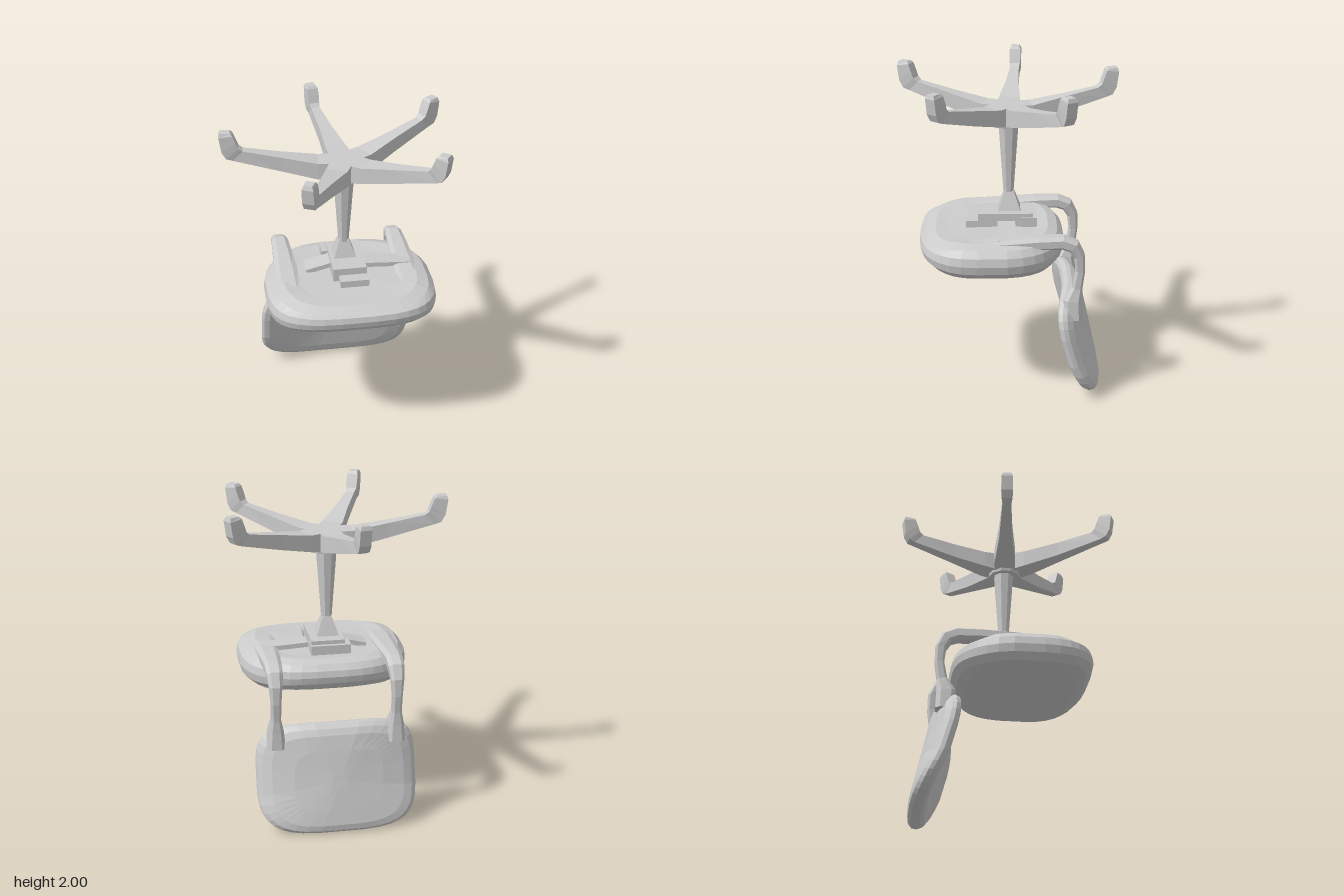
import * as THREE from 'three';

const mat = new THREE.MeshStandardMaterial({ color: 0xcccccc, flatShading: true });
const CX = 0.055; // mirror plane of seat, bars and backrest

function add(parent, name, geo, x = 0, y = 0, z = 0) {
  const m = new THREE.Mesh(geo, mat);
  m.name = name;
  m.position.set(x, y, z);
  parent.add(m);
  return m;
}

// Skin over a list of rings (counter-clockwise about the direction of travel), capped at both ends
function loft(rings) {
  const n = rings[0].length, pos = [], idx = [];
  rings.forEach(r => r.forEach(p => pos.push(...p)));
  for (let k = 0; k < rings.length - 1; k++)
    for (let i = 0; i < n; i++) {
      const j = (i + 1) % n, a = k * n, b = a + n;
      idx.push(a + i, a + j, b + j, a + i, b + j, b + i);
    }
  [0, rings.length - 1].forEach((k, end) => {
    const c = pos.length / 3;
    pos.push(...[0, 1, 2].map(q => rings[k].reduce((s, p) => s + p[q], 0) / n));
    for (let i = 0; i < n; i++) {
      const a = k * n + i, b = k * n + (i + 1) % n;
      idx.push(c, ...(end ? [a, b] : [b, a]));
    }
  });
  const g = new THREE.BufferGeometry();
  g.setAttribute('position', new THREE.Float32BufferAttribute(pos, 3));
  g.setIndex(idx);
  g.computeVertexNormals();
  return g;
}

// Rounded-rectangle outline as unit points
function outline(n, power) {
  const f = v => Math.sign(v) * Math.pow(Math.abs(v), 2 / power);
  return Array.from({ length: n }, (_, i) => {
    const t = ((i + 0.5) / n) * Math.PI * 2;
    return [f(Math.cos(t)), f(Math.sin(t))];
  });
}

// Seat: rings of [scale, height], narrower at the back, underside lifted at front and back
function seat() {
  const profile = [[0.1, 0.855], [0.5, 0.845], [0.76, 0.832], [0.9, 0.85], [0.98, 0.89], [1, 0.94],
    [0.98, 0.99], [0.91, 1.03], [0.78, 1.05], [0.6, 1.04], [0.1, 1.04]];
  return loft(profile.map(([s, y]) => outline(36, 3.1).map(([u, v]) => {
    const z = 0.1 - v * s * 0.45;
    const w = 0.535 * (1 - 0.16 * Math.max(0, (0.1 - z) / 0.45) ** 2);
    const lift = 0.055 * Math.max(0, (z - 0.25) / 0.3) ** 2 + 0.04 * Math.max(0, (-0.15 - z) / 0.2) ** 2;
    const low = Math.max(0, (1.02 - y) / 0.19);
    const drop = y > 1 ? 0.03 * Math.max(0, (z - 0.3) / 0.25) : 0;
    return [0.065 + u * s * w, y + lift * low - drop, z];
  })));
}

// Backrest: rings of [scale, depth], leaning and wrapping forward at the sides
function backrest() {
  const profile = [[0.1, -0.06], [0.55, -0.06], [0.82, -0.058], [0.93, -0.045], [0.99, -0.02], [1, 0.005],
    [0.97, 0.035], [0.9, 0.053], [0.75, 0.06], [0.5, 0.06], [0.1, 0.06]];
  return loft(profile.map(([s, d]) => outline(36, 3.8).map(([u, v]) => {
    const x = u * s * 0.505, y = 0.34 + v * s * 0.338;
    const wrap = 0.09 * (x / 0.5) ** 2 * Math.min(1, 0.25 + y * 2.5);
    return [0.05 + x, y, -0.405 - 0.225 * (0.62 - y) + d + wrap];
  })));
}

// Side bar: runs along the seat, bends over its rear edge and meets the backrest
function bar() {
  const path = [[0.28, 1.02, 0.08, 0.02], [0, 1.03, 0.075, 0.035], [-0.18, 1.038, 0.065, 0.04],
    [-0.33, 1.04, 0.055, 0.042], [-0.395, 1.015, 0.052, 0.042], [-0.43, 0.95, 0.042, 0.036],
    [-0.437, 0.85, 0.033, 0.03], [-0.42, 0.74, 0.032, 0.034], [-0.395, 0.66, 0.05, 0.06],
    [-0.4, 0.54, 0.06, 0.06]];
  return loft(path.map(([z, y, hw, ht], k) => {
    const a = path[Math.max(0, k - 1)], b = path[Math.min(path.length - 1, k + 1)];
    const len = Math.hypot(b[0] - a[0], b[1] - a[1]);
    const dz = (b[0] - a[0]) / len, dy = (b[1] - a[1]) / len;
    return outline(8, 3).map(([u, v]) => [u * hw, y + v * ht * dz, z - v * ht * dy]);
  }));
}

// Star leg pointing along +x, ending in an upturned foot; rings of [lower x, y, upper x, y, half width]
function leg(reach) {
  const rings = [[0, 1.67, 0, 1.8, 0.07], [0.16, 1.695, 0.16, 1.8, 0.066], [0.38, 1.745, 0.38, 1.838, 0.042],
    [0.67, 1.82, 0.61, 1.88, 0.028], [0.71, 1.835, 0.635, 1.9, 0.034], [0.735, 1.88, 0.65, 1.94, 0.036],
    [0.75, 1.975, 0.668, 1.985, 0.035], [0.742, 2, 0.682, 2, 0.026]];
  const k = reach / 0.75;
  return loft(rings.map(([xb, yb, xt, yt, w]) =>
    [[xt * k, yt, w], [xb * k, yb, w], [xb * k, yb, -w], [xt * k, yt, -w]]));
}

export function createModel() {
  const chair = new THREE.Group();
  chair.name = 'upturnedChair';
  add(chair, 'seat', seat());
  add(chair, 'backrest', backrest());
  for (const s of [-1, 1]) add(chair, s < 0 ? 'rightBar' : 'leftBar', bar(), CX + s * 0.375);

  // Tilt mechanism under the seat
  const mech = new THREE.Group();
  mech.name = 'tiltMechanism';
  chair.add(mech);
  add(mech, 'housing', new THREE.BoxGeometry(0.21, 0.1, 0.34), 0.06, 1.075, 0.015);
  add(mech, 'crossPlate', new THREE.BoxGeometry(0.25, 0.07, 0.1), 0.045, 1.065, -0.13);
  add(mech, 'frontPlate', new THREE.BoxGeometry(0.18, 0.06, 0.1), 0.08, 1.05, 0.21);
  add(mech, 'lever', new THREE.BoxGeometry(0.3, 0.03, 0.11), 0.32, 1.055, 0.01).rotation.z = -0.06;
  add(mech, 'sideWedge', new THREE.BoxGeometry(0.18, 0.03, 0.12), -0.11, 1.065, 0).rotation.z = 0.25;

  // Column with a flared socket
  const socket = new THREE.CylinderGeometry(0.042, 0.105, 0.13, 4).rotateY(Math.PI / 4);
  add(chair, 'socket', socket, 0.048, 1.175, -0.01);
  add(chair, 'column', new THREE.CylinderGeometry(0.066, 0.032, 0.47, 8).rotateY(Math.PI / 8), 0.047, 1.44, -0.005);

  // Five-legged star base
  const base = new THREE.Group();
  base.name = 'starBase';
  base.position.set(0.05, 0, 0);
  chair.add(base);
  add(base, 'hub', new THREE.CylinderGeometry(0.12, 0.1, 0.133, 10), 0, 1.733, 0);
  [[-100, 0.69], [-29.5, 0.73], [39.5, 0.71], [115, 0.745], [185, 0.75]].forEach(([deg, reach], i) => {
    add(base, 'leg' + (i + 1), leg(reach)).rotation.y = -THREE.MathUtils.degToRad(deg);
  });
  return chair;
}
